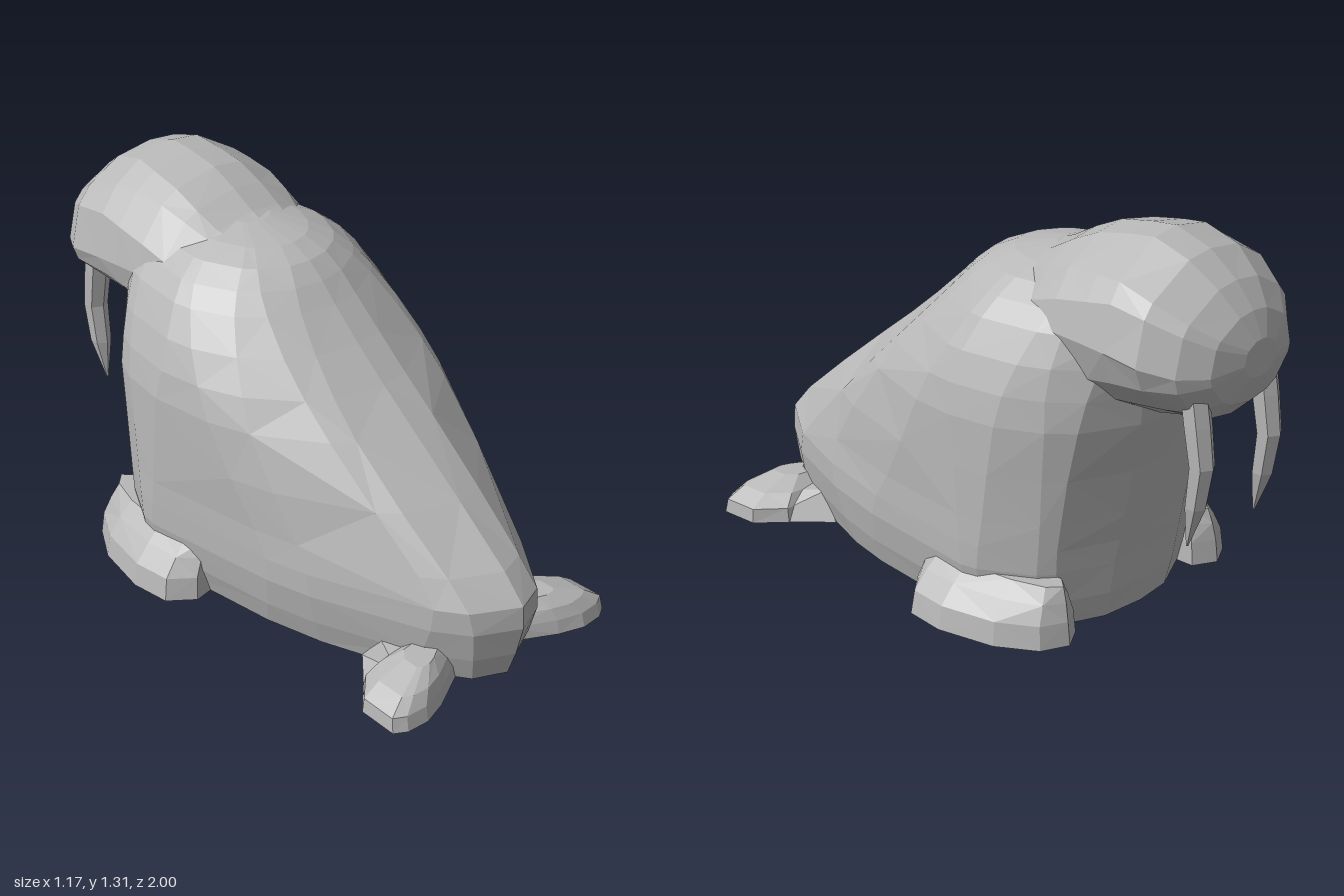
import * as THREE from 'three';

// Skin a stack of equal-length point rings, close both ends, keep facets flat
function loft(rings) {
  const pos = [];
  const tri = (...pts) => pts.forEach((p) => pos.push(...p));
  const n = rings[0].length;
  for (let i = 0; i < rings.length - 1; i++) {
    for (let j = 0; j < n; j++) {
      const k = (j + 1) % n;
      const a = rings[i][j], b = rings[i][k], c = rings[i + 1][k], d = rings[i + 1][j];
      if ((i + j) % 2) { tri(a, b, c); tri(a, c, d); } else { tri(a, b, d); tri(b, c, d); }
    }
  }
  const cap = (ring, flip) => {
    const mid = [0, 1, 2].map((q) => ring.reduce((s, p) => s + p[q], 0) / n);
    ring.forEach((p, j) => {
      const r = ring[(j + 1) % n];
      flip ? tri(mid, r, p) : tri(mid, p, r);
    });
  };
  cap(rings[0], true);
  cap(rings[rings.length - 1], false);
  const g = new THREE.BufferGeometry();
  g.setAttribute('position', new THREE.Float32BufferAttribute(pos, 3));
  g.computeVertexNormals();
  return g;
}

const mirror = (rings) => rings.map((r) => r.map(([x, y, z]) => [-x, y, z]).reverse());
const power = (v, e) => Math.sign(v) * Math.pow(Math.abs(v), e);

// Ring angles, slid unevenly along the ring for irregular facets (ends stay put)
function ringAngles(n, row) {
  return Array.from({ length: n }, (_, j) => {
    const slide = j % (n / 2) === 0 ? 0 : 0.28 * Math.sin(row * 12.9 + j * 78.2);
    return ((j + slide) / n) * Math.PI * 2;
  });
}

// Horizontal egg-shaped slices: height, tail end z, chest z, half width, widest z, tail fullness
function bodyRings() {
  const slices = [
    [0.00, 0.945, -0.57, 0.44, -0.2, 1.4],
    [0.09, 0.975, -0.585, 0.47, -0.2, 1.4],
    [0.20, 1.00, -0.595, 0.49, -0.2, 1.4],
    [0.28, 0.995, -0.605, 0.49, -0.2, 1.4],
    [0.37, 0.91, -0.62, 0.487, -0.2, 1.45],
    [0.53, 0.71, -0.645, 0.485, -0.2, 1.8],
    [0.70, 0.49, -0.68, 0.482, -0.2, 2],
    [0.80, 0.36, -0.69, 0.465, -0.2, 2],
    [0.90, 0.24, -0.70, 0.43, -0.22, 2],
    [1.00, 0.13, -0.71, 0.375, -0.25, 2],
    [1.06, 0.07, -0.70, 0.325, -0.27, 2],
    [1.11, 0.01, -0.64, 0.26, -0.28, 2],
    [1.145, -0.07, -0.55, 0.18, -0.29, 2],
    [1.172, -0.22, -0.42, 0.08, -0.31, 2],
  ];
  return slices.map(([y, back, front, w, mid, full], row) =>
    ringAngles(20, row).map((t) => {
      const c = Math.cos(t), s = Math.sin(t);
      const side = c > 0
        ? Math.sign(s) * Math.sqrt(Math.max(0, 1 - Math.pow(c, full)))
        : power(s, 0.85);
      return [w * side, y, mid + c * (c > 0 ? back - mid : mid - front)];
    }));
}

// Upright slices from neck to snout: z, top, bottom, half width, undercut of the cheeks
function headRings() {
  const slices = [
    [-0.16, 1.145, 0.80, 0.22, 1],
    [-0.27, 1.185, 0.78, 0.29, 1],
    [-0.36, 1.235, 0.74, 0.318, 1],
    [-0.46, 1.28, 0.71, 0.33, 1],
    [-0.58, 1.30, 0.70, 0.335, 1.2],
    [-0.67, 1.308, 0.70, 0.338, 1.5],
    [-0.80, 1.265, 0.73, 0.345, 1.5],
    [-0.90, 1.19, 0.76, 0.285, 1.1],
    [-0.965, 1.11, 0.82, 0.20, 1],
    [-1.00, 1.03, 0.91, 0.08, 1],
  ];
  return slices.map(([z, top, low, w, under], row) => {
    const mid = (top + low) / 2;
    return ringAngles(16, row).map((t) => {
      const c = Math.cos(t);
      return [w * power(Math.sin(t), c < -0.1 ? under : 0.95), mid + c * (top - mid), z];
    });
  });
}

// Tapered, backward-curving tusk: height, centre z, half thickness
function tuskRings() {
  return [
    [0.37, -0.88, 0.004],
    [0.51, -0.907, 0.036],
    [0.65, -0.925, 0.042],
    [0.78, -0.905, 0.046],
    [0.90, -0.885, 0.046],
  ].map(([y, z, r]) => Array.from({ length: 6 }, (_, j) => {
    const t = (j / 6) * Math.PI * 2;
    return [0.17 + r * Math.sin(t), y, z + r * Math.cos(t)];
  }));
}

// Flipper: ground outline drawn in towards an inner ridge
function flipperRings(outline, ridge, levels) {
  return levels.map(([y, s]) => outline.map(([x, z]) => [
    ridge[0] + (x - ridge[0]) * s[0], y, ridge[1] + (z - ridge[1]) * s[1],
  ]));
}

export function createModel() {
  const model = new THREE.Group();
  model.name = 'walrus';
  const hide = new THREE.MeshStandardMaterial({ color: 0xb8b8b8 });
  hide.name = 'grey hide';

  const add = (name, rings) => {
    const mesh = new THREE.Mesh(loft(rings), hide);
    mesh.name = name;
    model.add(mesh);
  };
  const addPair = (name, rings) => {
    add('left' + name, rings);
    add('right' + name, mirror(rings));
  };

  add('body', bodyRings());
  add('head', headRings());
  addPair('Tusk', tuskRings());

  // Front flippers
  addPair('FrontFlipper', flipperRings(
    [[0.3, -0.05], [0.48, -0.015], [0.565, -0.08], [0.583, -0.22], [0.545, -0.42],
      [0.47, -0.55], [0.38, -0.595], [0.3, -0.55]],
    [0.36, -0.28],
    [[0, [1, 1]], [0.08, [0.94, 0.97]], [0.14, [0.7, 0.93]], [0.19, [0.45, 0.88]]],
  ));

  // Hind flippers: a tapering paddle plus a thin web running forward along the body
  addPair('HindFlipper', flipperRings(
    [[0.12, 0.84], [0.27, 0.92], [0.36, 0.95], [0.44, 0.945], [0.482, 0.92], [0.478, 0.78],
      [0.39, 0.69], [0.1, 0.66]],
    [0.22, 0.8],
    [[0, [1, 1]], [0.05, [0.98, 0.92]], [0.09, [0.75, 0.75]], [0.125, [0.35, 0.4]]],
  ));
  addPair('HindWeb', [
    [[0.15, 0.8], [0.46, 0.77], [0.28, 0.57], [0.12, 0.57]].map(([x, z]) => [x, 0, z]),
    [[0.15, 0.12, 0.79], [0.33, 0.08, 0.78], [0.265, 0.1, 0.63], [0.12, 0.1, 0.63]],
  ]);

  // Small skin folds where the hind flippers meet the body
  addPair('HindFold', [
    [[0.17, 0.09, 0.8], [0.24, 0.09, 0.8], [0.22, 0.09, 0.64], [0.16, 0.09, 0.66]],
    [[0.2, 0.16, 0.785], [0.21, 0.16, 0.785], [0.21, 0.13, 0.68], [0.19, 0.13, 0.68]],
  ]);

  return model;
}
